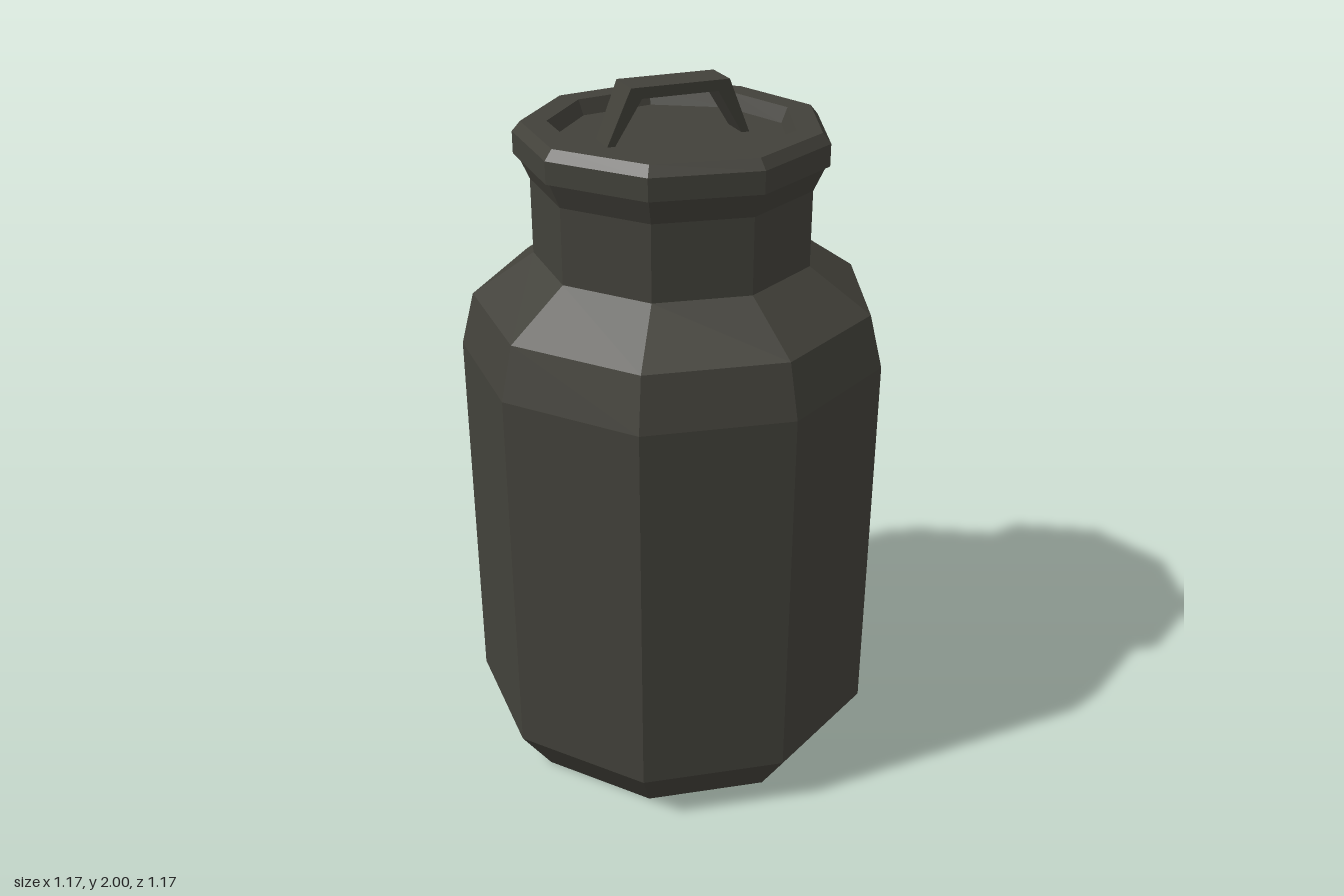
import * as THREE from 'three';

const SIDES = 9;
const TURN = THREE.MathUtils.degToRad(4.4);

export function createModel() {
  const model = new THREE.Group();
  const metal = new THREE.MeshStandardMaterial({ color: 0x42413a, flatShading: true });
  metal.name = 'dark metal';

  // Nine-sided turned part from a [radius, height] profile, bottom to top
  const turned = (name, profile) => {
    const points = profile.map(([r, y]) => new THREE.Vector2(r, y));
    const mesh = new THREE.Mesh(new THREE.LatheGeometry(points, SIDES, TURN, Math.PI * 2), metal);
    mesh.name = name;
    can.add(mesh);
  };

  const can = new THREE.Group();
  can.name = 'milkCan';
  can.position.set(-0.011, 0, -0.013);
  model.add(can);

  // Body with chamfered foot and sloping shoulder, up to the flared neck
  turned('body', [
    [0, 0], [0.5, 0], [0.598, 0.145], [0.598, 1.255], [0.56, 1.405],
    [0.386, 1.525], [0.386, 1.735], [0.418, 1.805],
  ]);

  // Lid with bevelled rim and recessed top
  turned('lid', [
    [0.38, 1.805], [0.428, 1.805], [0.428, 1.865], [0.405, 1.892],
    [0.335, 1.892], [0.318, 1.85], [0, 1.85],
  ]);

  // Bridge handle: splayed legs, narrower at the feet than at the top
  const outline = new THREE.Shape([
    [-0.202, 1.85], [-0.18, 1.85], [-0.107, 1.97], [0.107, 1.97],
    [0.18, 1.85], [0.202, 1.85], [0.138, 2], [-0.138, 2],
  ].map(([x, y]) => new THREE.Vector2(x, y)));
  const geometry = new THREE.ExtrudeGeometry(outline, { depth: 2, bevelEnabled: false });
  geometry.translate(0, 0, -1);
  const pos = geometry.attributes.position;
  for (let i = 0; i < pos.count; i++) {
    const t = (pos.getY(i) - 1.85) / 0.15;
    pos.setZ(i, pos.getZ(i) * THREE.MathUtils.lerp(0.0435, 0.054, t));
  }
  geometry.computeVertexNormals();
  const handle = new THREE.Mesh(geometry, metal);
  handle.name = 'lidHandle';
  handle.rotation.y = THREE.MathUtils.degToRad(34.7);
  can.add(handle);

  return model;
}
